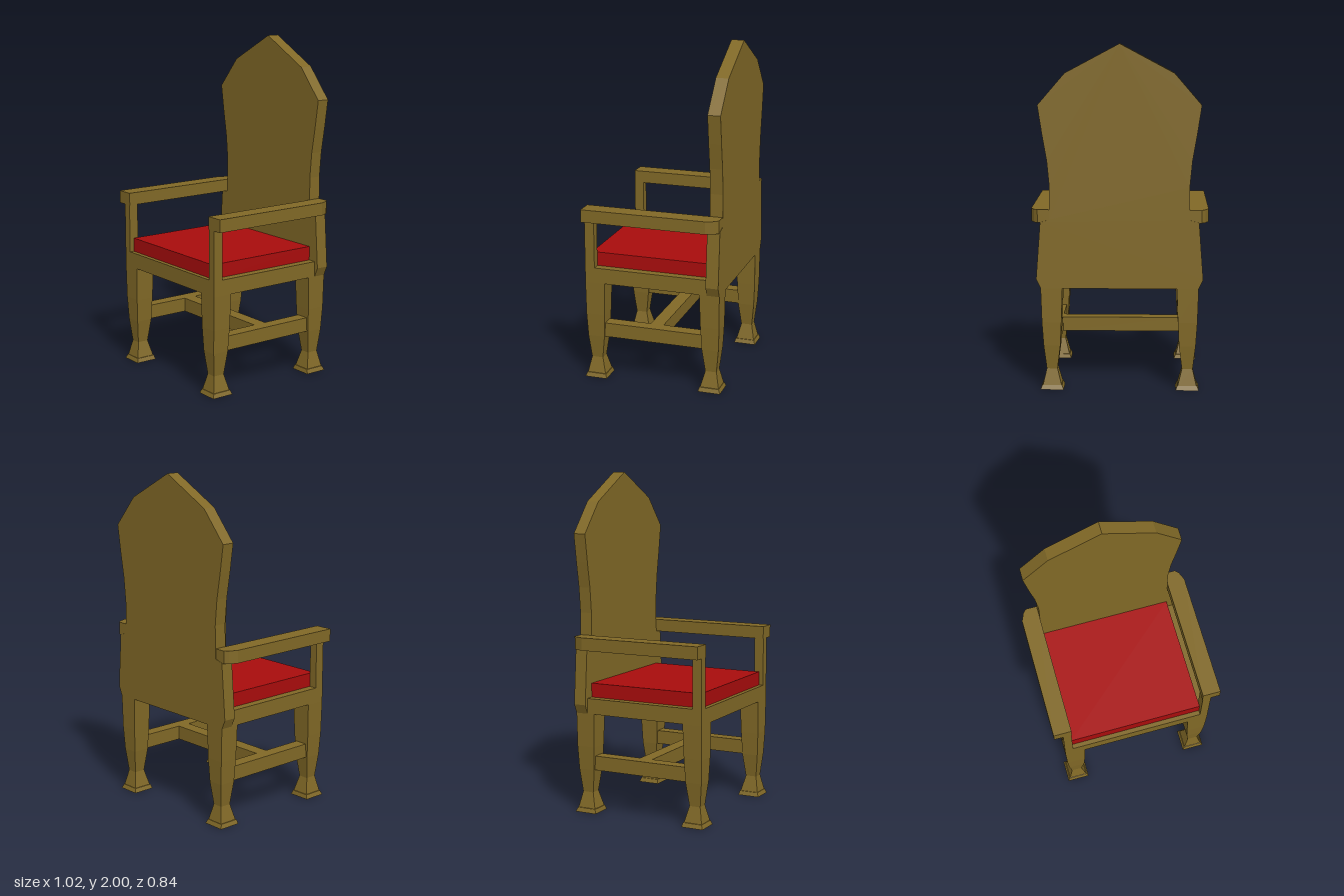
import * as THREE from 'three';

const wood = new THREE.MeshStandardMaterial({ color: 0x806826, flatShading: true });
const fabric = new THREE.MeshStandardMaterial({ color: 0xa80c0c, flatShading: true });

// Box given by its limits on each axis
function block(name, [x0, x1], [y0, y1], [z0, z1], material = wood) {
  const mesh = new THREE.Mesh(new THREE.BoxGeometry(x1 - x0, y1 - y0, z1 - z0), material);
  mesh.position.set((x0 + x1) / 2, (y0 + y1) / 2, (z0 + z1) / 2);
  mesh.name = name;
  return mesh;
}

function slab(name, points, depth) {
  const shape = new THREE.Shape(points.map(([x, y]) => new THREE.Vector2(x, y)));
  const mesh = new THREE.Mesh(new THREE.ExtrudeGeometry(shape, { depth, bevelEnabled: false }), wood);
  mesh.name = name;
  return mesh;
}

// Square-section leg: each row is y, inner x, outer x, inner z, outer z
const legRows = [
  [0, 0.325, 0.46, 0.285, 0.42],
  [0.025, 0.335, 0.45, 0.292, 0.41],
  [0.026, 0.338, 0.446, 0.296, 0.408],
  [0.12, 0.362, 0.424, 0.32, 0.388],
  [0.26, 0.344, 0.44, 0.302, 0.403],
  [0.4, 0.337, 0.449, 0.296, 0.409],
  [0.6, 0.33, 0.455, 0.29, 0.41],
];

function leg(name, sx, sz) {
  const pos = [], index = [];
  for (const [y, x0, x1, z0, z1] of legRows) {
    const xs = [x0 * sx, x1 * sx].sort((a, b) => a - b);
    const zs = [z0 * sz, z1 * sz].sort((a, b) => a - b);
    pos.push(xs[0], y, zs[1], xs[1], y, zs[1], xs[1], y, zs[0], xs[0], y, zs[0]);
  }
  for (let r = 0; r < legRows.length - 1; r++) {
    for (let i = 0; i < 4; i++) {
      const a = r * 4 + i, b = r * 4 + (i + 1) % 4;
      index.push(a, b, b + 4, a, b + 4, a + 4);
    }
  }
  const t = (legRows.length - 1) * 4;
  index.push(0, 2, 1, 0, 3, 2, t, t + 1, t + 2, t, t + 2, t + 3);
  let g = new THREE.BufferGeometry();
  g.setAttribute('position', new THREE.Float32BufferAttribute(pos, 3));
  g.setIndex(index);
  g = g.toNonIndexed();
  g.computeVertexNormals();
  const mesh = new THREE.Mesh(g, wood);
  mesh.name = name;
  return mesh;
}

export function createModel() {
  const chair = new THREE.Group();
  chair.name = 'armchair';

  // Tall pointed back, waisted above the arms
  const half = [
    [0.455, 0.6], [0.48, 0.655], [0.455, 0.985], [0.402, 1.0], [0.4, 1.19],
    [0.414, 1.34], [0.44, 1.49], [0.465, 1.655], [0.31, 1.835],
  ];
  const mirrored = half.map(([x, y]) => [-x, y]).reverse();
  const back = slab('backPanel', [...half, [0, 2], ...mirrored], 0.075);
  back.position.z = -0.41;
  chair.add(back);

  // Seat and cushion
  chair.add(block('seatFrame', [-0.455, 0.455], [0.6, 0.692], [-0.336, 0.41]));
  chair.add(block('cushion', [-0.405, 0.405], [0.69, 0.775], [-0.335, 0.383], fabric));

  for (const s of [1, -1]) {
    const side = s > 0 ? 'left' : 'right';
    const span = (a, b) => (s > 0 ? [a, b] : [-b, -a]);

    // Armrest, outline drawn in plan with its rear corner rounded off
    const plan = [[0.402, -0.41], [0.51, -0.41], [0.51, 0.338], [0.49, 0.387], [0.47, 0.408], [0.402, 0.408]];
    const arm = slab(side + 'Armrest', plan.map(([x, y]) => [x * s, y]), 0.075);
    arm.rotation.x = -Math.PI / 2;
    arm.position.y = 0.983;
    chair.add(arm);
    chair.add(block(side + 'ArmPost', span(0.405, 0.455), [0.69, 0.985], [0.352, 0.41]));

    // Legs and side stretcher
    chair.add(leg(side + 'FrontLeg', s, 1));
    chair.add(leg(side + 'BackLeg', s, -1));
    chair.add(block(side + 'Stretcher', span(0.352, 0.43), [0.26, 0.345], [-0.31, 0.31]));
  }

  // Cross stretcher joining the two side stretchers
  chair.add(block('crossStretcher', [-0.36, 0.36], [0.26, 0.345], [-0.04, 0.04]));
  return chair;
}
